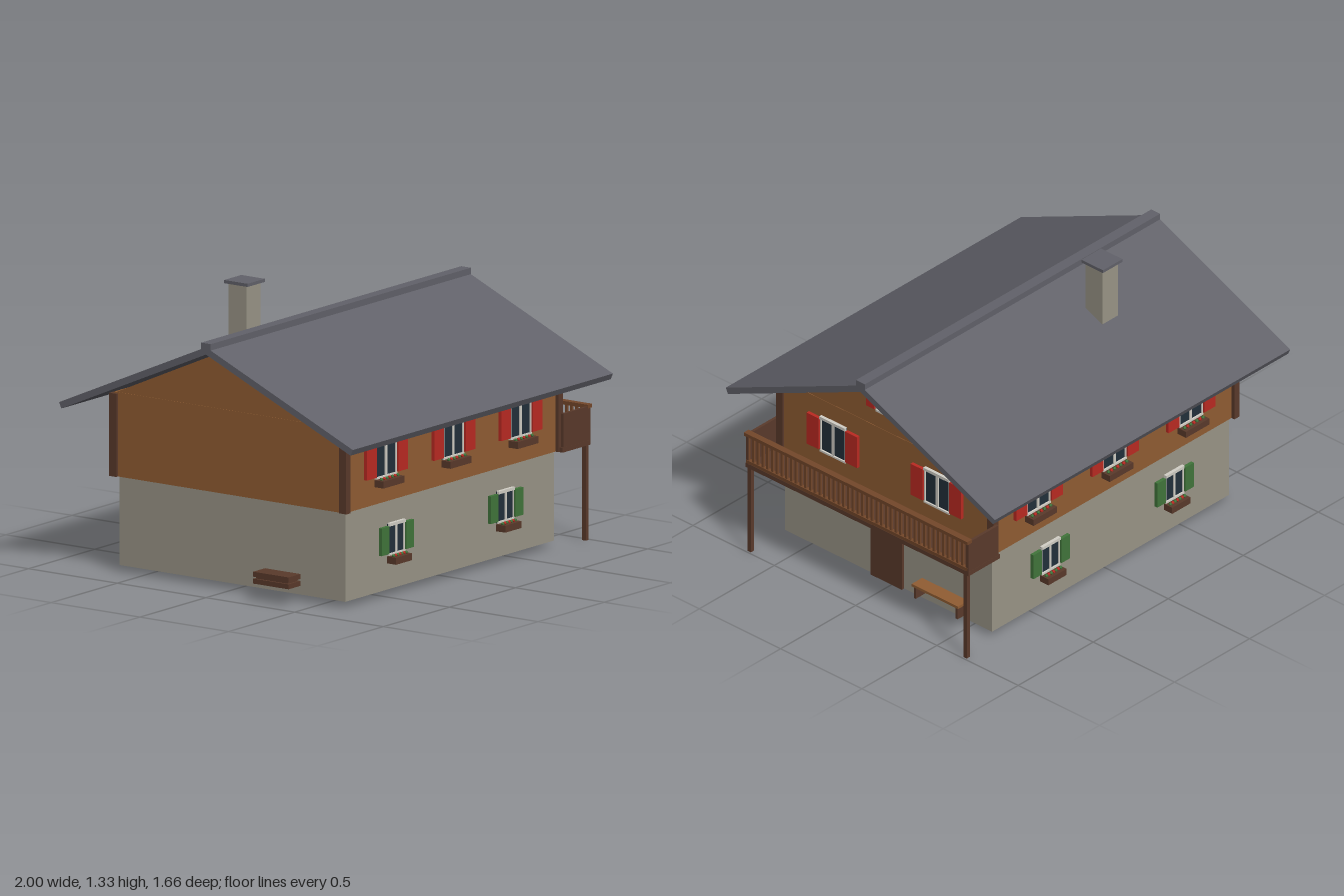
import * as THREE from 'three';

const paint = (name, color) => Object.assign(new THREE.MeshStandardMaterial({ color }), { name });

export function createModel() {
  const stone = paint('stone', 0x9a9587);
  const timber = paint('timber', 0x915d33);
  const darkWood = paint('darkWood', 0x5a3a2b);
  const railWood = paint('railWood', 0x74472a);
  const slate = paint('slate', 0x62626a);
  const trim = paint('trim', 0xd2cfc6);
  const glass = paint('glass', 0x22303b);
  const red = paint('red', 0xbb2a22);
  const green = paint('green', 0x41753b);

  const model = new THREE.Group();
  model.name = 'chalet';

  // Box from its extents [x0, x1], [y0, y1], [z0, z1]
  function box(parent, name, mat, [x0, x1], [y0, y1], [z0, z1]) {
    const mesh = new THREE.Mesh(new THREE.BoxGeometry(x1 - x0, y1 - y0, z1 - z0), mat);
    mesh.position.set((x0 + x1) / 2, (y0 + y1) / 2, (z0 + z1) / 2);
    mesh.name = name;
    parent.add(mesh);
    return mesh;
  }

  // Cross-section of [z, y] points, symmetric in z, extruded from x0 to x1
  function prism(name, mat, points, x0, x1) {
    const shape = new THREE.Shape(points.map(([z, y]) => new THREE.Vector2(z, y)));
    const geo = new THREE.ExtrudeGeometry(shape, { depth: x1 - x0, bevelEnabled: false });
    geo.rotateY(Math.PI / 2).translate(x0, 0, 0);
    const mesh = new THREE.Mesh(geo, mat);
    mesh.name = name;
    model.add(mesh);
  }

  // Walls
  const midX = -0.012;
  box(model, 'stoneWalls', stone, [-0.8, 0.78], [0.03, 0.44], [-0.637, 0.637]);
  box(model, 'timberWalls', timber, [-0.822, 0.795], [0.445, 0.836], [-0.65, 0.65]);
  prism('gable', timber, [[-0.637, 0.836], [0.637, 0.836], [0, 1.12]], -0.82, 0.793);
  for (const x of [-0.818, 0.788]) for (const z of [-0.648, 0.648]) {
    box(model, 'cornerPost', darkWood, [x - 0.017, x + 0.017], [0.445, 0.83], [z - 0.02, z + 0.02]);
  }

  // Roof, ridge and chimney
  prism('roof', slate, [
    [-0.815, 0.767], [0, 1.126], [0.815, 0.767], [0.828, 0.795], [0, 1.16], [-0.828, 0.795],
  ], -1, 0.968);
  box(model, 'ridgeCap', slate, [-1, 0.968], [1.145, 1.178], [-0.027, 0.027]);
  box(model, 'chimney', stone, [-0.418, -0.312], [0.95, 1.312], [-0.307, -0.205]);
  box(model, 'chimneyCap', slate, [-0.43, -0.3], [1.311, 1.326], [-0.322, -0.19]);

  // Window facing +z, with its middle at the origin
  function makeWindow(w, h, shutterW, shutterMat, planter) {
    const g = new THREE.Group();
    g.name = 'window';
    const a = w / 2, b = h / 2, t = w * 0.045;
    box(g, 'pane', glass, [-a, a], [-b, b], [-0.004, 0.005]);
    box(g, 'mullion', trim, [-t, t], [-b, b], [0, 0.011]);
    box(g, 'lintel', trim, [-a, a], [b - 0.012, b + 0.002], [0, 0.016]);
    box(g, 'sill', trim, [-a, a], [-b, -b + 0.009], [0, 0.014]);
    for (const s of [-1, 1]) {
      const jamb = s * (a - t / 2);
      box(g, 'jamb', trim, [jamb - t / 2, jamb + t / 2], [-b, b], [0, 0.011]);
      const c = s * (a + 0.004 + shutterW / 2);
      box(g, 'shutter', shutterMat, [c - shutterW / 2, c + shutterW / 2], [-b + 0.01, b - 0.01], [0, 0.017]);
    }
    if (planter) {
      box(g, 'flowerBox', darkWood, [-a, a], [-b - 0.036, -b - 0.004], [0, 0.052]);
      // Alternating leaves and blossoms
      for (let i = 0; i < 7; i++) {
        const x = (i - 3) * w * 0.13;
        const bloom = new THREE.Mesh(new THREE.IcosahedronGeometry(0.009, 0), i % 2 ? red : green);
        bloom.position.set(x, -b, 0.028);
        bloom.name = i % 2 ? 'blossom' : 'leaves';
        g.add(bloom);
      }
    }
    return g;
  }

  // Windows on both long sides
  for (const side of [1, -1]) {
    const place = (win, x, y, z) => {
      win.position.set(x, y, side * z);
      if (side < 0) win.rotation.y = Math.PI;
      model.add(win);
    };
    for (const dx of [-0.508, 0, 0.508]) place(makeWindow(0.157, 0.188, 0.073, red, true), midX + dx, 0.657, 0.65);
    for (const dx of [-0.413, 0.413]) place(makeWindow(0.122, 0.148, 0.057, green, true), midX + dx, 0.262, 0.637);
  }

  // Windows on the balcony side
  for (const [z, y, w, h, s] of [
    [0.32, 0.658, 0.157, 0.185, 0.073], [-0.32, 0.658, 0.157, 0.185, 0.073], [0, 0.987, 0.11, 0.122, 0.05],
  ]) {
    const win = makeWindow(w, h, s, red, false);
    win.rotation.y = Math.PI / 2;
    win.position.set(0.795, y, z);
    model.add(win);
  }

  // Door
  box(model, 'door', darkWood, [0.77, 0.796], [0.03, 0.362], [-0.096, 0.096]);
  box(model, 'doorLintel', trim, [0.77, 0.802], [0.36, 0.381], [-0.115, 0.115]);

  // Balcony
  const balcony = new THREE.Group();
  balcony.name = 'balcony';
  model.add(balcony);
  box(balcony, 'balconyFloor', darkWood, [0.78, 0.99], [0.443, 0.465], [-0.685, 0.685]);
  box(balcony, 'bottomRail', railWood, [0.972, 0.992], [0.468, 0.484], [-0.68, 0.68]);
  box(balcony, 'handrail', railWood, [0.968, 1], [0.614, 0.631], [-0.687, 0.687]);
  const slats = 47;
  for (let i = 0; i < slats; i++) {
    const z = -0.672 + (1.344 * i) / (slats - 1);
    box(balcony, 'baluster', railWood, [0.978, 0.988], [0.48, 0.616], [z - 0.006, z + 0.006]);
  }
  for (const s of [-1, 1]) {
    const z = s * 0.677;
    box(balcony, 'sidePanel', darkWood, [0.788, 0.99], [0.447, 0.622], [z - 0.007, z + 0.007]);
    const p = s * 0.664;
    box(balcony, 'supportPost', darkWood, [0.968, 0.99], [0, 0.445], [p - 0.011, p + 0.011]);
  }

  // Bench beside the door
  const bench = new THREE.Group();
  bench.name = 'bench';
  model.add(bench);
  box(bench, 'seat', timber, [0.8, 0.87], [0.138, 0.151], [-0.51, -0.225]);
  for (const z of [-0.24, -0.497]) box(bench, 'benchLeg', darkWood, [0.805, 0.865], [0.078, 0.139], [z - 0.006, z + 0.006]);

  // Stacked planks on the far side
  const stack = new THREE.Group();
  stack.name = 'plankStack';
  model.add(stack);
  box(stack, 'lowerPlank', darkWood, [-0.925, -0.835], [0.08, 0.103], [0.21, 0.41]);
  box(stack, 'spacer', darkWood, [-0.915, -0.845], [0.1, 0.115], [0.22, 0.4]);
  box(stack, 'upperPlank', darkWood, [-0.925, -0.835], [0.112, 0.135], [0.21, 0.41]);

  return model;
}
